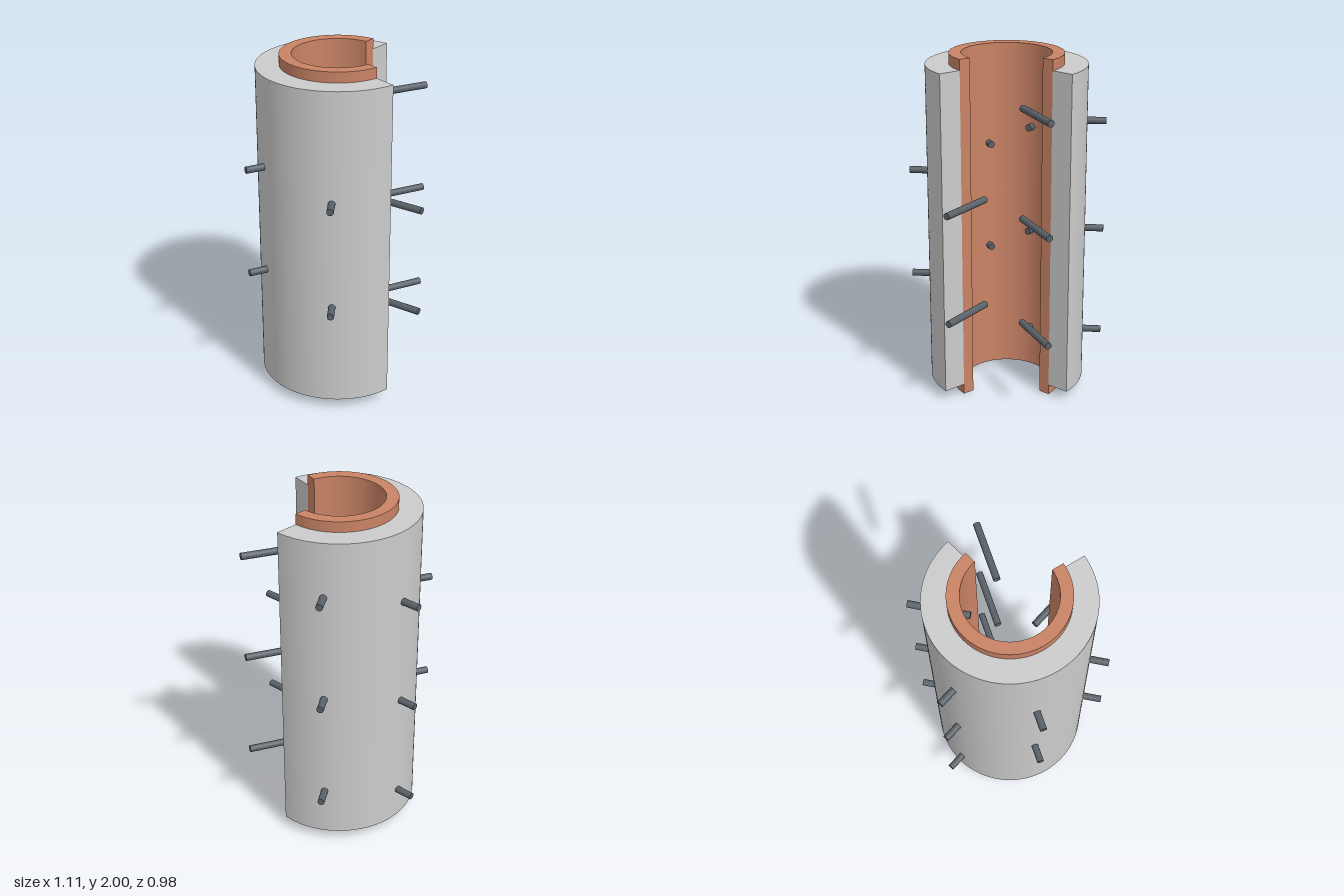
import * as THREE from 'three';
import { toCreasedNormals } from 'three/addons/utils/BufferGeometryUtils.js';

const START = THREE.MathUtils.degToRad(25.8);
const END = THREE.MathUtils.degToRad(283.8);

// Upright tube wall with a wedge cut out of it
function openTube(name, inner, outer, bottom, top, material) {
  const shape = new THREE.Shape();
  shape.absarc(0, 0, outer, START, END, false);
  shape.absarc(0, 0, inner, END, START, true);
  const extruded = new THREE.ExtrudeGeometry(shape, {
    depth: top - bottom, bevelEnabled: false, curveSegments: 72,
  });
  extruded.rotateX(-Math.PI / 2);
  const mesh = new THREE.Mesh(toCreasedNormals(extruded, 0.5), material);
  mesh.name = name;
  mesh.position.y = bottom;
  return mesh;
}

export function createModel() {
  const model = new THREE.Group();
  model.name = 'cutawayTube';

  const grey = new THREE.MeshStandardMaterial({ color: 0xcccccc });
  const copper = new THREE.MeshStandardMaterial({ color: 0xc98365 });
  const steel = new THREE.MeshStandardMaterial({ color: 0x596168 });

  // Two nested walls, the inner one slightly longer
  model.add(openTube('outerShell', 0.32, 0.451, 0.06, 1.94, grey));
  model.add(openTube('innerLiner', 0.252, 0.32, 0, 2, copper));

  // Radial pins descending in a spiral, six per turn
  const pins = new THREE.Group();
  pins.name = 'spiralPins';
  const innerEnd = 0.212, outerEnd = 0.556;
  const pinGeometry = new THREE.CylinderGeometry(0.02, 0.02, outerEnd - innerEnd, 20);
  pinGeometry.rotateZ(-Math.PI / 2);
  pinGeometry.translate((innerEnd + outerEnd) / 2, 0, 0);
  for (let i = 0; i < 15; i++) {
    const pin = new THREE.Mesh(pinGeometry, steel);
    pin.name = `pin${i + 1}`;
    pin.position.y = 1.73 - i * 0.1059;
    pin.rotation.y = i * Math.PI / 3;
    pins.add(pin);
  }
  model.add(pins);
  return model;
}
